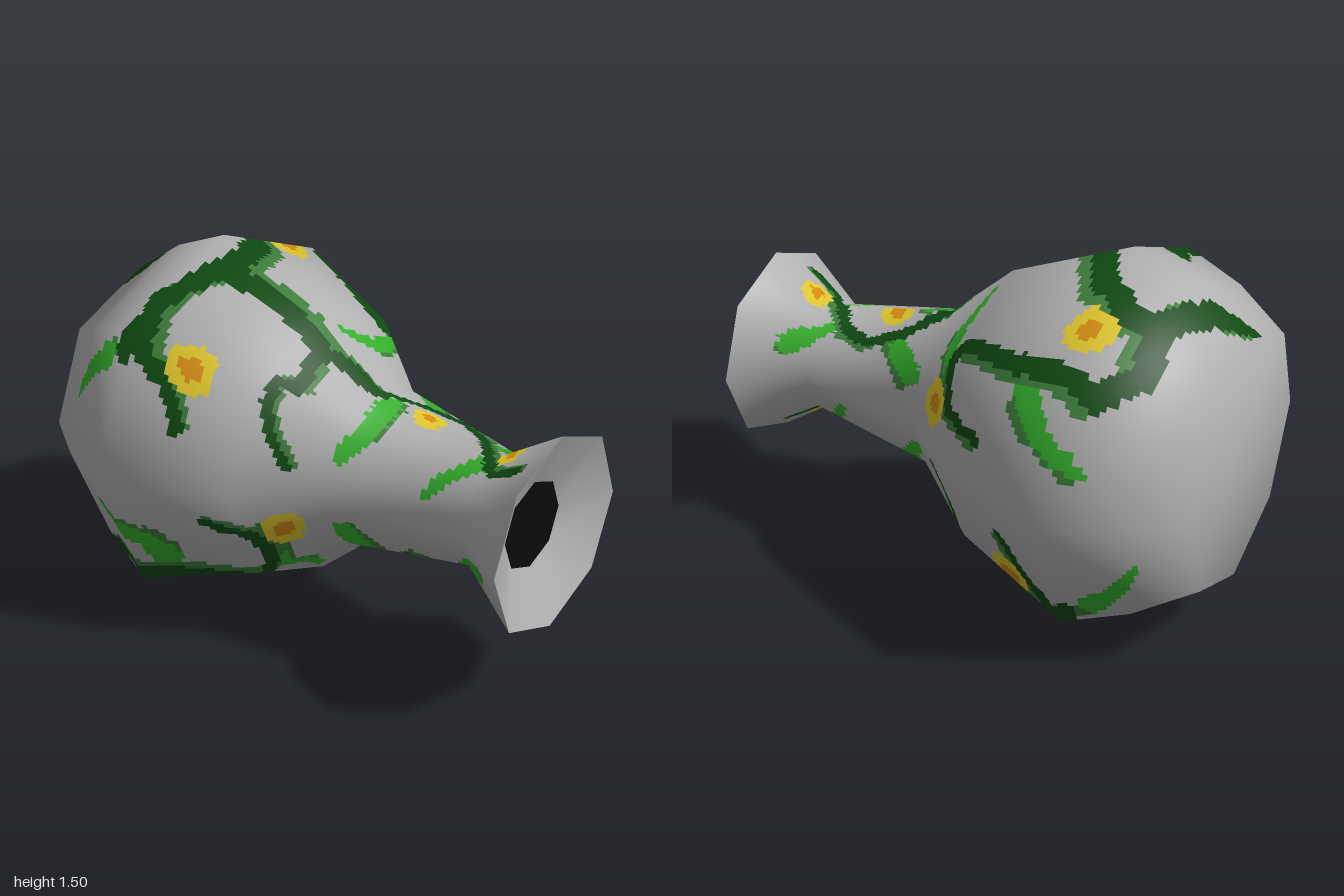
import * as THREE from 'three';

const mat = (name, color) => Object.assign(new THREE.MeshStandardMaterial({ color }), { name });

// Body profile from mouth to back: [z, radius]
const PROFILE = [[1, 0.39], [0.74, 0.22], [0.2, 0.32], [-0.06, 0.55], [-0.54, 0.75], [-0.78, 0.65], [-1, 0.5], [-1, 0]];
const SIDES = 8, AXIS_Y = 0.75, C = Math.SQRT1_2;

function radiusAt(z) {
  for (let i = 0; i < 6; i++) {
    const [za, ra] = PROFILE[i], [zb, rb] = PROFILE[i + 1];
    if (z >= zb - 1e-6) return ra + (rb - ra) * (za - z) / (za - zb);
  }
  return 0.5;
}

// Surface coordinates are [t, z]: t counts octagon sides from the top towards +x.
// Place points by x (on the upper half) or by y (on the +x half).
const byX = (...pts) => pts.map(([x, z]) => {
  const q = Math.abs(x) / radiusAt(z);
  return [Math.sign(x) * (q < C ? q / C : 1 + Math.min(1, (q - C) / (1 - C))), z];
});
const byY = (...pts) => pts.map(([y, z]) => {
  const h = (y - AXIS_Y) / radiusAt(z), q = Math.abs(h);
  return [2 - Math.sign(h) * (q < C ? q / C : 1 + Math.min(1, (q - C) / (1 - C))), z];
});

// Painted strokes: start and end half width, then path. The pattern repeats after half a turn.
const VINES = [
  [0.065, 0.06, byX([-0.06, -1], [0.03, -0.87], [0.2, -0.75], [0.25, -0.65], [0.15, -0.5], [0, -0.43])],
  [0.06, 0.045, byX([0, -0.43], [-0.1, -0.4], [-0.07, -0.2], [-0.08, 0.02])],
  [0.035, 0.025, byX([-0.08, 0.02], [0, 0.22], [0.12, 0.35], [0.17, 0.48], [0.12, 0.6], [0, 0.7], [-0.1, 0.78], [-0.13, 0.9])],
  [0.055, 0.05, byX([-0.55, -0.56], [-0.3, -0.53], [-0.18, -0.48], [0, -0.43])],
  [0.06, 0.03, byY([0.15, -0.58], [0.28, -0.48], [0.38, -0.37], [0.53, -0.3])],
  [0.04, 0.02, [...byX([-0.08, 0], [-0.25, 0.03]), ...byY([0.35, -0.03], [0.5, 0], [0.64, 0.08])]],
  [0.07, 0.05, byX([0.2, -0.75], [0.42, -0.77], [0.53, -0.65])],
  [0.055, 0.025, [...byX([0.53, -0.65]), ...byY([1.25, -0.55], [1.2, -0.3], [1.15, -0.05], [1.05, 0], [0.93, -0.03], [0.89, -0.2])]],
];
const LEAVES = [
  [0.055, 0.03, [...byX([-0.04, 0.28], [-0.2, 0.28]), ...byY([0.6, 0.22])]],
  [0.02, 0.05, byX([0.07, -0.01], [0.2, 0.04], [0.38, 0.01])],
  [0.075, 0.025, byY([1.12, -0.4], [1.04, -0.46], [0.93, -0.64])],
  [0.03, 0.055, byY([0.98, 0.38], [0.91, 0.25])],
  [0.045, 0.025, byY([0.88, 0.82], [0.95, 0.65])],
  [0.02, 0.04, byY([0.65, 0.58], [0.54, 0.73])],
  [0.02, 0.06, byY([0.54, -0.82], [0.42, -0.75], [0.34, -0.66])],
];
const FLOWERS = [
  [0.1, byX([0.37, -0.54])], [0.1, byX([-0.47, -0.3])], [0.07, byX([0.02, 0.43])],
  [0.065, byX([0, 0.81])], [0.085, byY([0.9, 0.06])],
].map(([r, [p]]) => [r, r, [p, p]]);

const wrap = (t) => ((t + 2) % 4 + 4) % 4 - 2;

// Is a point within a stroke (optionally scaled and shifted by its own width)?
function inStroke([w0, w1, path], t, z, sx, sz, scale = 1, shift = 0, wobble = 0) {
  const n = path.length - 1;
  for (let i = 0; i < n; i++) {
    const [ta, za] = path[i], [tb, zb] = path[i + 1];
    const w = w0 + (w1 - w0) * (i + 0.5) / n;
    const dt = wrap(ta - t);
    const ax = dt * sx + shift * w, ay = (za - z) * sz + shift * w;
    const dx = wrap(tb - ta) * sx, dy = (zb - za) * sz;
    const len = dx * dx + dy * dy;
    const k = len ? Math.min(1, Math.max(0, -(ax * dx + ay * dy) / len)) : 0;
    const wk = (w0 + (w1 - w0) * (i + k) / n) * scale;
    if (Math.hypot(ax + k * dx, ay + k * dy) < wk + wobble) return true;
  }
  return false;
}

// Material slot for a spot on the body
function paint(t, z, sx, sz) {
  const wob = 0.007 * Math.sin(t * 37 + z * 23) * Math.cos(z * 61 - t * 11);
  const hit = (list, scale, shift) => list.some((s) => inStroke(s, t, z, sx, sz, scale, shift, wob));
  if (hit(FLOWERS, 0.45)) return 5;
  if (hit(FLOWERS, 1)) return 4;
  if (hit(VINES, 0.85)) return 1;
  if (hit(VINES, 0.75, 0.75)) return 2;
  if (hit(LEAVES, 0.95)) return 3;
  if (hit(LEAVES, 0.7, 0.6)) return 2;
  return 0;
}

// Eight-sided smooth-shaded body, finely divided so the painting is separate faces
function bodyGeometry() {
  const PER = 24, COLS = SIDES * PER;
  const segN = PROFILE.slice(1).map(([z, r], i) => {
    const [za, ra] = PROFILE[i];
    return new THREE.Vector2(za - z, r - ra).normalize(); // x: radial, y: along z
  });
  const normals = PROFILE.map((_, i) => {
    if (i === PROFILE.length - 1) return new THREE.Vector2(0, -1);
    const n = segN[i].clone();
    if (i > 0) n.add(segN[i - 1]);
    return n.normalize();
  });
  segN[6].set(0, -1);
  normals[6].copy(segN[5]).add(new THREE.Vector2(0, -1)).normalize();

  const pos = [], nor = [], faces = [[], [], [], [], [], []];
  const corner = (i) => [Math.sin(i * Math.PI / 4), Math.cos(i * Math.PI / 4)];
  for (let b = 0; b < PROFILE.length - 1; b++) {
    const [za, ra] = PROFILE[b], [zb, rb] = PROFILE[b + 1];
    const length = Math.hypot(zb - za, rb - ra), cap = za === zb;
    const rows = cap ? 4 : Math.ceil(length / 0.021);
    const base = pos.length / 3;
    for (let j = 0; j <= rows; j++) {
      const v = j / rows, r = ra + (rb - ra) * v, z = za + (zb - za) * v;
      const m = normals[b].clone().lerp(normals[b + 1], v);
      for (let i = 0; i <= COLS; i++) {
        const s = Math.floor(i / PER), f = (i % PER) / PER;
        const [x0, y0] = corner(s), [x1, y1] = corner(s + 1);
        const x = x0 + (x1 - x0) * f, y = y0 + (y1 - y0) * f;
        pos.push(x * r, AXIS_Y + y * r, z);
        const n = new THREE.Vector3(x * m.x, y * m.x, m.y).normalize();
        nor.push(n.x, n.y, n.z);
      }
    }
    for (let j = 0; j < rows; j++) for (let i = 0; i < COLS; i++) {
      const v = (j + 0.5) / rows, r = ra + (rb - ra) * v, z = za + (zb - za) * v;
      const slot = cap ? 0 : paint((i + 0.5) / PER, z, 0.765 * r, length / (za - zb));
      const p = base + j * (COLS + 1) + i, q = p + COLS + 1;
      faces[slot].push(p, p + 1, q);
      if (!(cap && j === rows - 1)) faces[slot].push(p + 1, q + 1, q);
    }
  }
  const geo = new THREE.BufferGeometry();
  geo.setAttribute('position', new THREE.Float32BufferAttribute(pos, 3));
  geo.setAttribute('normal', new THREE.Float32BufferAttribute(nor, 3));
  const index = [];
  faces.forEach((list, slot) => {
    geo.addGroup(index.length, list.length, slot);
    for (const k of list) index.push(k);
  });
  geo.setIndex(index);
  return geo;
}

export function createModel() {
  const group = new THREE.Group();
  group.name = 'vase';
  const grey = mat('stoneGrey', 0xb0b0b0);
  const paints = [grey, mat('vineGreen', 0x0f4a12), mat('vineHighlight', 0x3d7d3b),
    mat('leafGreen', 0x34b02c), mat('petalYellow', 0xdfc62c), mat('flowerOrange', 0xd48c12)];

  const add = (name, geo, material) => {
    const mesh = new THREE.Mesh(geo, material);
    mesh.name = name;
    group.add(mesh);
    return mesh;
  };
  add('paintedBody', bodyGeometry(), paints);

  // Shallow funnel inside the mouth, ending in the dark opening
  const funnel = new THREE.LatheGeometry([new THREE.Vector2(0.39, 1), new THREE.Vector2(0.175, 0.9)], SIDES);
  funnel.rotateX(Math.PI / 2);
  add('mouthFunnel', funnel, grey).position.y = AXIS_Y;
  add('opening', new THREE.CircleGeometry(0.175, SIDES), mat('openingBlack', 0x0a0a0a)).position.set(0, AXIS_Y, 0.9);
  return group;
}
